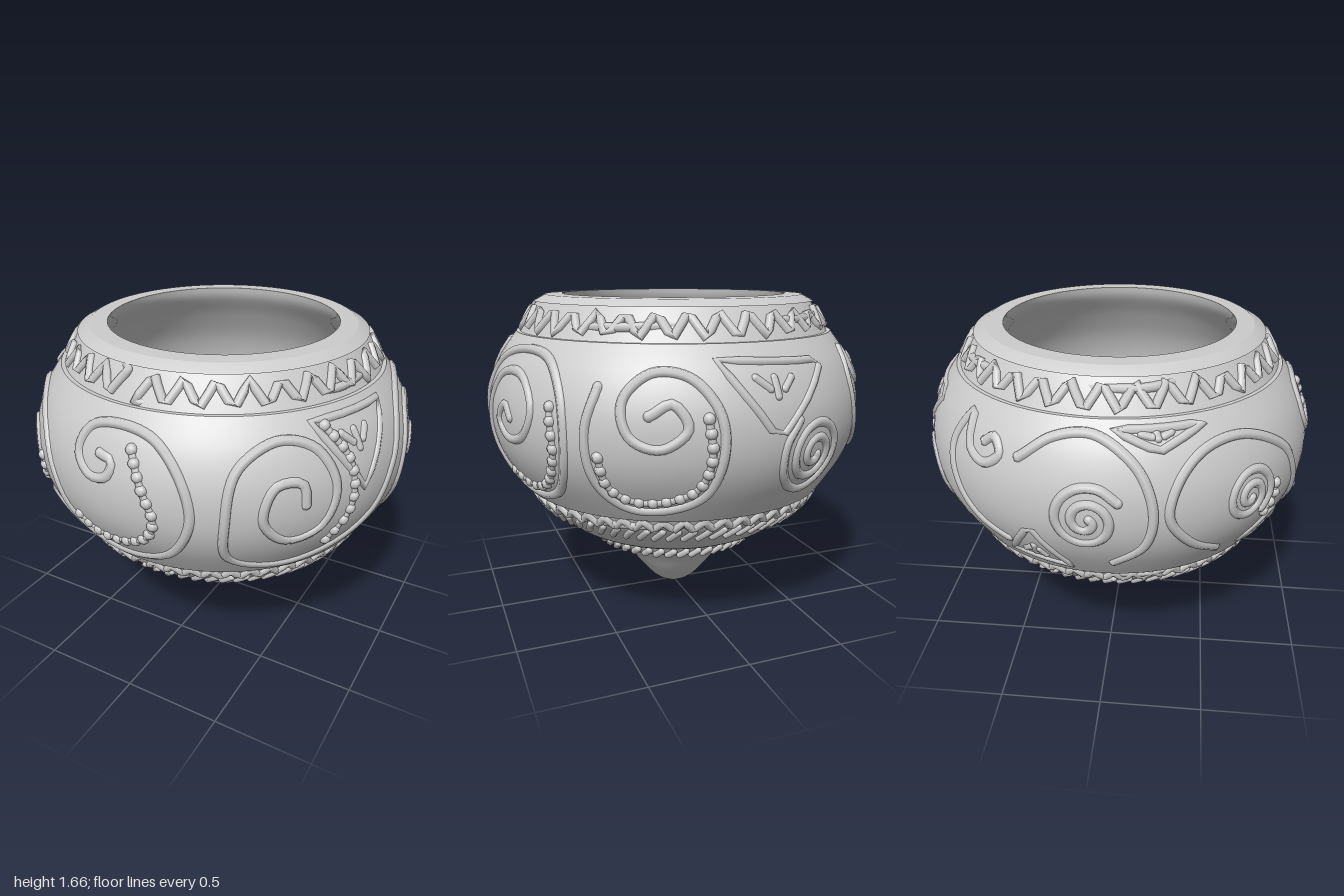
import * as THREE from 'three';
import { mergeGeometries } from 'three/addons/utils/BufferGeometryUtils.js';

const grey = new THREE.MeshStandardMaterial({ color: 0xcccccc, side: THREE.DoubleSide });

// Profile sections as [radius, height]; each is smooth, with sharp edges between them
const profile = {
  tip: [[0, 0], [0.05, 0.008], [0.12, 0.05], [0.2, 0.14], [0.26, 0.22], [0.32, 0.285], [0.4, 0.318]],
  footBand: [[0.4, 0.318], [0.43, 0.33], [0.465, 0.38]],
  lowerBody: [[0.465, 0.38], [0.53, 0.405], [0.61, 0.45], [0.7, 0.525]],
  lowerBand: [[0.7, 0.525], [0.76, 0.59], [0.8, 0.665]],
  belly: [[0.82, 0.665], [0.87, 0.74], [0.93, 0.84], [0.973, 0.95], [0.99, 1.07], [0.98, 1.2], [0.935, 1.33], [0.88, 1.42], [0.835, 1.48]],
  upperBand: [[0.815, 1.48], [0.77, 1.56], [0.725, 1.63]],
};
const smooth = (pts, n) => new THREE.SplineCurve(pts.map(p => new THREE.Vector2(...p))).getPoints(n);
const outline = Object.values(profile).flatMap(p => smooth(p, 30));

function radiusAt(y) {
  for (let i = 1; i < outline.length; i++) {
    const a = outline[i - 1], b = outline[i];
    if (y <= b.y && b.y > a.y) return a.x + (b.x - a.x) * (y - a.y) / (b.y - a.y);
  }
  return outline[outline.length - 1].x;
}

// Point on the outside at an angle in degrees from the front
function onPot(deg, y, lift = 0) {
  const a = THREE.MathUtils.degToRad(deg), r = radiusAt(y) + lift;
  return new THREE.Vector3(Math.sin(a) * r, y, Math.cos(a) * r);
}

// Front-plane position to [angle, height]
const fromFront = ([x, y]) => [THREE.MathUtils.radToDeg(Math.asin(x / radiusAt(y))), y];

// Dense [angle, height] points along a smooth or straight-edged path
function trace(pts, straight, closed) {
  const v = pts.map(p => new THREE.Vector3(p[0] / 57.3, p[1], 0));
  if (!straight) return new THREE.CatmullRomCurve3(v, closed).getSpacedPoints(pts.length * 6).map(p => [p.x * 57.3, p.y]);
  if (closed) v.push(v[0]);
  const out = [];
  for (let i = 1; i < v.length; i++)
    for (let k = 0; k < 5; k++) {
      const p = v[i - 1].clone().lerp(v[i], k / 5);
      out.push([p.x * 57.3, p.y]);
    }
  if (!closed) out.push(pts[pts.length - 1]);
  return out;
}

// Rounded ridge laid along the surface
function ridge(pts, { radius = 0.027, lift = -0.012, straight = false, closed = false } = {}) {
  const p3 = trace(pts, straight, closed).map(p => onPot(p[0], p[1], lift));
  const curve = new THREE.CatmullRomCurve3(p3, closed);
  const parts = [new THREE.TubeGeometry(curve, p3.length, radius, 7, closed)];
  if (!closed) for (const e of [p3[0], p3[p3.length - 1]])
    parts.push(new THREE.SphereGeometry(radius, 8, 6).translate(e.x, e.y, e.z));
  return mergeGeometries(parts);
}

// Thin ridge with a row of beads along it
function beaded(pts) {
  const curve = new THREE.CatmullRomCurve3(trace(pts).map(p => onPot(p[0], p[1], -0.006)));
  const n = Math.round(curve.getLength() / 0.062);
  const beads = curve.getSpacedPoints(n).map(p => new THREE.SphereGeometry(0.029, 9, 7).translate(p.x, p.y, p.z));
  return mergeGeometries([ridge(pts, { radius: 0.02, lift: -0.008 }), ...beads]);
}

function spiral(deg, y, outer, inner, turns, start) {
  const pts = [], n = Math.round(turns * 10);
  for (let i = 0; i <= n; i++) {
    const r = outer + (inner - outer) * i / n, a = start + i / 10 * Math.PI * 2;
    pts.push([deg + 57.3 * r * Math.cos(a), y + r * Math.sin(a)]);
  }
  return pts;
}

// Triangle frame with three short strokes inside
function triangle(a, b, c) {
  const mix = (p, q, t) => [p[0] + (q[0] - p[0]) * t, p[1] + (q[1] - p[1]) * t];
  const parts = [ridge([a, b, c], { radius: 0.022, lift: -0.01, straight: true, closed: true })];
  for (const t of [0.25, 0.45, 0.65]) {
    const p = mix(mix(a, b, t), c, 0.2), q = mix(mix(a, b, 0.5), c, 0.2 + 0.4 * (1 - Math.abs(t - 0.45) * 2));
    parts.push(ridge([p, mix(p, q, 0.6)], { radius: 0.02, lift: -0.008, straight: true }));
  }
  return mergeGeometries(parts);
}

function zigzag(count, y0, y1, radius) {
  const pts = [];
  for (let i = 0; i < count; i++) pts.push([i * 360 / count, y0], [(i + 0.5) * 360 / count, y1]);
  return ridge(pts, { radius, lift: 0, straight: true, closed: true });
}

// Ring of slanted strokes
function strokes(count, y0, y1, slant, radius) {
  const parts = [];
  for (let i = 0; i < count; i++) {
    const a = i * 360 / count;
    parts.push(ridge([[a, y0], [a + slant, y1]], { radius, lift: 0, straight: true }));
  }
  return mergeGeometries(parts);
}

export function createModel() {
  const group = new THREE.Group();
  const add = (name, geometry) => {
    const mesh = new THREE.Mesh(geometry, grey);
    mesh.name = name;
    group.add(mesh);
  };
  const lathe = (name, pts) => add(name, new THREE.LatheGeometry(pts, 96));
  const V = (x, y) => new THREE.Vector2(x, y);

  // Outer shell and small ledges of the belly
  for (const [name, pts] of Object.entries(profile)) lathe(name, smooth(pts, 20));
  lathe('lowerLedge', [V(0.8, 0.665), V(0.82, 0.665)]);
  lathe('upperLedge', [V(0.835, 1.48), V(0.815, 1.48)]);

  // Rim and hollow interior
  lathe('rimChamfer', [V(0.725, 1.63), V(0.74, 1.63), V(0.68, 1.662)]);
  lathe('rimTop', [V(0.68, 1.662), V(0.59, 1.665)]);
  lathe('innerWall', smooth([[0.59, 1.665], [0.61, 1.6], [0.7, 1.47], [0.8, 1.28], [0.84, 1.07], [0.79, 0.85], [0.66, 0.66], [0.5, 0.52], [0.32, 0.43]], 36));
  lathe('innerPit', smooth([[0.32, 0.43], [0.24, 0.3], [0.15, 0.2], [0.07, 0.15], [0, 0.135]], 16));

  // Decorated bands
  add('upperZigzag', zigzag(34, 1.5, 1.605, 0.022));
  add('lowerZigzag', zigzag(52, 0.605, 0.65, 0.02));
  add('lowerStrokes', strokes(64, 0.54, 0.59, 3.5, 0.018));
  add('footBeads', strokes(44, 0.335, 0.36, 4, 0.02));

  // Long scrolls
  add('frontScroll', ridge([[-0.74, 0.8], [-0.87, 0.91], [-0.94, 1.07], [-0.91, 1.23], [-0.82, 1.34], [-0.68, 1.36],
    [-0.52, 1.23], [-0.44, 1.07], [-0.34, 0.88], [-0.2, 0.77], [0.01, 0.74], [0.22, 0.83], [0.34, 1.04], [0.3, 1.23],
    [0.17, 1.37], [-0.02, 1.41], [-0.18, 1.37], [-0.23, 1.26], [-0.15, 1.17], [-0.05, 1.19], [-0.03, 1.26], [-0.1, 1.28]].map(fromFront)));
  add('sideScroll', ridge([[50, 1.1], [49, 1.2], [41.6, 1.2], [38.7, 1.04], [45.6, 0.92], [55, 0.96], [59, 1.15], [54, 1.33],
    [43, 1.38], [32, 1.28], [29, 1.05], [30, 0.82], [43, 0.73], [62, 0.77], [75, 0.91], [82, 1.12], [91, 1.34], [105, 1.42],
    [121, 1.39], [128.5, 1.23], [129, 0.96], [123, 0.79], [110, 0.72], [96, 0.77], [90, 0.96], [92, 1.15], [99, 1.3],
    [111, 1.31], [118, 1.18], [114, 1.04], [106, 1.01], [100.5, 1.09], [105, 1.17], [108, 1.11]]));
  add('backScroll', ridge([[139, 1.3], [136, 1.1], [138, 0.86], [145, 0.75], [157, 0.74], [168, 0.82], [172, 1], [171, 1.2],
    [164, 1.34], [153, 1.36], [146, 1.25], [148, 1.1], [156, 1.05], [163, 1.14], [159, 1.24], [153, 1.19]]));
  add('backHook', ridge([[236, 1.32], [239, 1.35], [242, 1.29], [237, 1.23], [231, 1.27], [231, 1.38], [237, 1.43], [246, 1.38]]
    .slice(0, 5).concat([[229, 1.37], [236, 1.43], [228, 1.41], [223, 1.26], [226, 1.06], [233, 0.92], [242, 0.85]].filter((_, i) => i !== 1))));
  add('leftArc', ridge([[248, 1.3], [257, 1.4], [269, 1.42], [280, 1.3], [284, 1.1], [282, 0.92], [274, 0.8]]));

  // Coiled spirals
  add('frontLeftSpiral', ridge(spiral(-47.7, 1.08, 0.15, 0.02, 2, -0.8)));
  add('leftSpiral', ridge(spiral(267, 1.06, 0.17, 0.02, 2, 0.6)));
  add('backSpiral', ridge(spiral(201, 0.97, 0.21, 0.025, 2.6, 2.2)));

  // Beaded lines
  const beadLines = [
    [[3.8, 1.33], [7.6, 1.17], [10.4, 1.02], [7.2, 0.91], [-1.2, 0.84], [-12, 0.84], [-17, 0.9]],
    [[58, 1.41], [64, 1.25], [64.5, 1.02], [59, 0.85]],
    [[125, 1.2], [125.5, 0.98], [120, 0.83], [110, 0.77], [99, 0.81]],
    [[139.5, 1], [141, 0.86], [147, 0.79], [157, 0.79], [166, 0.86], [169, 1], [168, 1.18]],
    [[-40, 0.94], [-37, 1], [-37, 1.08]],
  ];
  beadLines.forEach(line => add('beadedLine', beaded(line)));

  // Triangular fillers
  add('sideTriangle', triangle([54, 1.43], [83, 1.43], [69, 1.1]));
  add('backTriangle', triangle([171, 1.41], [207, 1.38], [187, 1.07]));
  add('leftTriangle', triangle([-86, 1.44], [-60, 1.44], [-74, 1.36]));
  add('frontTriangle', triangle([-44, 0.77], [-25, 0.73], [-34, 0.92]));
  add('backLeftTriangle', triangle([241, 0.77], [261, 0.73], [251, 0.98]));
  return group;
}
